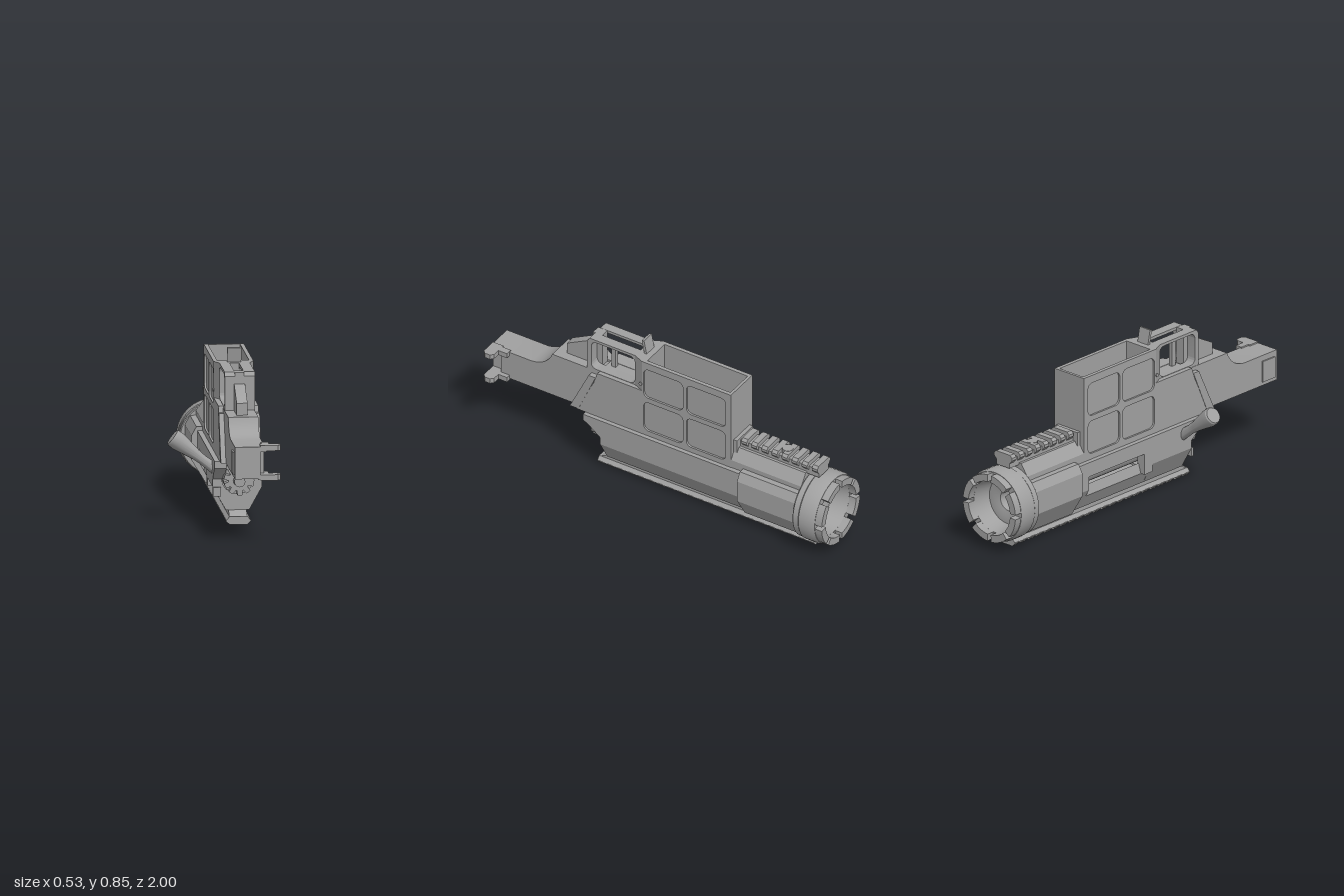
import * as THREE from 'three';
import { toCreasedNormals } from 'three/addons/utils/BufferGeometryUtils.js';

const CX = 0.078, CY = 0.225; // bore axis

export function createModel() {
  const model = new THREE.Group();
  const metal = new THREE.MeshStandardMaterial({ color: 0xa0a0a0 });
  metal.name = 'grey metal';

  const add = (name, geo) => {
    const mesh = new THREE.Mesh(toCreasedNormals(geo, 0.5), metal);
    mesh.name = name;
    model.add(mesh);
    return mesh;
  };
  const poly = pts => new THREE.Shape(pts.map(p => new THREE.Vector2(p[0], p[1])));
  // rounded rectangle between two corners
  const roundRect = (x0, y0, x1, y1, r) => {
    const p = new THREE.Path();
    p.absarc(x1 - r, y1 - r, r, 0, Math.PI / 2);
    p.absarc(x0 + r, y1 - r, r, Math.PI / 2, Math.PI);
    p.absarc(x0 + r, y0 + r, r, Math.PI, Math.PI * 1.5);
    p.absarc(x1 - r, y0 + r, r, Math.PI * 1.5, Math.PI * 2);
    p.closePath();
    return p;
  };
  const extrude = (shape, depth) => new THREE.ExtrudeGeometry(shape, { depth, bevelEnabled: false, curveSegments: 8 });
  // side profile (z, y) spanning x0..x1
  const sideways = (name, shape, x0, x1) => add(name, extrude(shape, x1 - x0).rotateY(-Math.PI / 2).translate(x1, 0, 0));
  // cross-section (x, y) spanning z0..z1
  const lengthways = (name, shape, z0, z1) => add(name, extrude(shape, z1 - z0).translate(0, 0, z0));
  // plan (x, z) spanning y0..y1
  const upright = (name, shape, y0, y1) => add(name, extrude(shape, y1 - y0).rotateX(Math.PI / 2).translate(0, y1, 0));
  const box = (name, x0, x1, y0, y1, z0, z1) => add(name,
    new THREE.BoxGeometry(x1 - x0, y1 - y0, z1 - z0).translate((x0 + x1) / 2, (y0 + y1) / 2, (z0 + z1) / 2));
  const withBore = (pts, r) => {
    const s = poly(pts), h = new THREE.Path();
    h.absarc(CX, CY, r, 0, Math.PI * 2);
    s.holes.push(h);
    return s;
  };

  // receiver body: bored ends, middle open on top and at the port
  const bodyPts = [[-0.045, 0.325], [-0.045, 0.18], [0.02, 0.065], [0.136, 0.065], [0.2, 0.18], [0.2, 0.325]];
  lengthways('receiverRear', withBore(bodyPts, 0.08), 0.05, 0.33);
  lengthways('receiverNeck', withBore(bodyPts, 0.089), -0.5, -0.41);
  const trough = poly([[0.158, 0.325], [0.2, 0.325], [0.2, 0.18], [0.136, 0.065], [0.02, 0.065], [-0.021, 0.14]]);
  trough.absarc(CX, CY, 0.09, Math.PI * 1.12, Math.PI * 2);
  lengthways('receiverTrough', trough, -0.41, 0.05);
  box('portLip', -0.045, 0, 0.25, 0.325, -0.41, 0.05);
  box('portRearFill', -0.045, 0.0, 0.14, 0.25, -0.01, 0.05);
  for (const [x0, x1] of [[-0.045, 0.015], [0.14, 0.2]]) {
    sideways('receiverEar', poly([[0.33, 0.22], [0.4, 0.275], [0.43, 0.29], [0.43, 0.325], [0.33, 0.325]]), x0, x1);
  }

  // thicker handguard
  lengthways('handguard', withBore([[-0.05, 0.345], [-0.075, 0.3], [-0.075, 0.18], [-0.005, 0.065],
    [0.161, 0.065], [0.231, 0.18], [0.231, 0.3], [0.206, 0.345]], 0.089), -0.83, -0.49);

  // barrel sleeve and front collar
  const collar = [[0.14, -0.96], [0.18, -0.96], [0.187, -0.945], [0.187, -0.87], [0.183, -0.865], [0.183, -0.835],
    [0.178, -0.83], [0.088, -0.83], [0.088, -0.45], [0.055, -0.45], [0.055, -0.86], [0.09, -0.87], [0.12, -0.87], [0.14, -0.96]];
  add('barrelCollar', new THREE.LatheGeometry(collar.map(p => new THREE.Vector2(...p)), 36).rotateX(Math.PI / 2).translate(CX, CY, 0));
  for (let i = 0; i < 8; i++) {
    const a0 = (i * Math.PI) / 4 + 0.07, a1 = a0 + Math.PI / 4 - 0.14, s = new THREE.Shape();
    s.absarc(CX, CY, 0.177, a0, a1, false);
    s.absarc(CX, CY, 0.14, a1, a0, true);
    lengthways('collarTooth', s, -1, -0.955);
  }

  // bolt with fluted end cap
  add('bolt', new THREE.CylinderGeometry(0.06, 0.06, 0.78, 24).rotateX(Math.PI / 2).translate(CX, CY, -0.02));
  add('boltShroud', new THREE.CylinderGeometry(0.075, 0.075, 0.14, 32).rotateX(Math.PI / 2).translate(CX, CY, 0.3));
  const flutes = [];
  for (let i = 0; i < 60; i++) {
    const a = (i / 60) * Math.PI * 2, r = i > 21 && i % 6 < 2 ? 0.052 : 0.075;
    flutes.push([CX + r * Math.cos(a), CY + r * Math.sin(a)]);
  }
  lengthways('flutedCap', poly(flutes), 0.365, 0.415);
  add('capButton', new THREE.CylinderGeometry(0.027, 0.03, 0.05, 20).rotateX(Math.PI / 2).translate(CX, CY, 0.43));
  box('capLatch', 0.063, 0.093, 0.298, 0.32, 0.33, 0.42);
  box('capLug', -0.045, -0.005, 0.135, 0.18, 0.33, 0.345);

  // angled bolt handle
  const handle = add('boltHandle', new THREE.LatheGeometry([[0, -0.07], [0.028, -0.07], [0.028, 0], [0.024, 0.09], [0.027, 0.13],
    [0.046, 0.24], [0.045, 0.27], [0.04, 0.278], [0, 0.278]].map(p => new THREE.Vector2(...p)), 20));
  handle.position.set(-0.02, 0.255, 0.28);
  handle.quaternion.setFromUnitVectors(new THREE.Vector3(0, 1, 0), new THREE.Vector3(-0.22, 0.17, 0).normalize());

  // magazine well: inner walls plus outer plates with four pockets
  const wellPts = [[-0.42, 0.325], [0.1, 0.325], [0.1, 0.77], [-0.42, 0.77]];
  const pocketed = poly(wellPts);
  for (const z of [-0.39, -0.14]) for (const y of [0.355, 0.557]) {
    pocketed.holes.push(roundRect(z, y, z + 0.23, y + 0.173, 0.03));
  }
  sideways('wellInnerRight', poly(wellPts), -0.01, 0);
  sideways('wellOuterRight', pocketed, -0.02, -0.01);
  sideways('wellInnerLeft', poly(wellPts), 0.158, 0.168);
  sideways('wellOuterLeft', pocketed, 0.168, 0.178);
  box('wellFrontWall', 0, 0.158, 0.325, 0.77, -0.42, -0.405);
  box('wellRearWall', 0, 0.158, 0.325, 0.77, 0.08, 0.1);

  // trigger housing and its diagonal ribs
  sideways('triggerHousing', poly([[0.1, 0.325], [0.48, 0.325], [0.38, 0.53], [0.36, 0.59], [0.1, 0.59]]), -0.02, 0.178);
  for (const [x0, x1] of [[-0.022, 0.005], [0.152, 0.18]]) {
    sideways('diagonalRib', poly([[0.47, 0.33], [0.52, 0.33], [0.41, 0.56], [0.37, 0.56]]), x0, x1);
  }

  // trigger guard: side frames leave a slot along the top
  upright('guardRoot', poly([[-0.02, 0.1], [0.178, 0.1], [0.155, 0.155], [0.005, 0.155]]), 0.58, 0.77);
  for (const [x0, x1] of [[0.005, 0.055], [0.101, 0.155]]) {
    const frame = poly([[0.435, 0.57], [0.435, 0.75], [0.42, 0.77], [0.12, 0.77], [0.12, 0.57]]);
    frame.holes.push(roundRect(0.155, 0.592, 0.41, 0.755, 0.03));
    sideways('guardFrame', frame, x0, x1);
  }
  box('guardPost', 0.055, 0.101, 0.57, 0.769, 0.38, 0.434);
  box('trigger', 0.068, 0.088, 0.57, 0.72, 0.31, 0.335);
  const lever = box('releaseLever', -0.035, 0.035, -0.13, 0.045, -0.007, 0.007);
  lever.position.set(0.08, 0.8, 0.125);
  lever.rotation.x = 0.2;
  for (const x of [-0.023, 0.178]) {
    add('crossPin', new THREE.CylinderGeometry(0.009, 0.009, 0.006, 12).rotateZ(Math.PI / 2).translate(x + 0.0015, 0.63, 0.107));
  }

  // rear tang with window, swept up to the grip saddle
  const tang = poly([[0.38, 0.33], [0.94, 0.33], [0.94, 0.49], [0.76, 0.49]]);
  tang.quadraticCurveTo(0.67, 0.5, 0.64, 0.58);
  tang.lineTo(0.36, 0.58);
  tang.holes.push(roundRect(0.575, 0.355, 0.795, 0.465, 0.045));
  sideways('rearTang', tang, 0.003, 0.152);
  sideways('gripRidge', poly([[0.43, 0.57], [0.585, 0.57], [0.585, 0.64], [0.45, 0.712], [0.43, 0.712]]), 0.05, 0.104);

  // rear end block with two hooks and a side channel
  box('endBlock', 0.003, 0.13, 0.33, 0.49, 0.93, 1);
  box('endBlockTop', 0.12, 0.16, 0.465, 0.49, 0.93, 1);
  box('endBlockBottom', 0.12, 0.16, 0.325, 0.35, 0.93, 1);
  for (const [y0, y1] of [[0.47, 0.497], [0.322, 0.35]]) {
    upright('hook', poly([[0.13, 0.94], [0.215, 0.94], [0.23, 0.955], [0.23, 0.985], [0.215, 1], [0.13, 1]]), y0, y1);
    box('hookNub', 0.14, 0.176, y0, y1, 0.89, 0.945);
  }
  box('sideKeeper', -0.005, 0.005, 0.35, 0.46, 0.89, 0.98);

  // fore block carrying the top rail
  lengthways('foreBlock', poly([[-0.02, 0.32], [0.176, 0.32], [0.176, 0.37], [0.135, 0.43], [0.021, 0.43], [-0.02, 0.37]]), -0.83, -0.41);
  box('foreShoulder', 0.005, 0.152, 0.38, 0.48, -0.44, -0.41);
  box('topRailBase', 0.035, 0.121, 0.42, 0.467, -0.9, -0.41);
  const topTooth = poly([[0.035, 0.445], [0.121, 0.445], [0.138, 0.464], [0.138, 0.478], [0.125, 0.491],
    [0.031, 0.491], [0.018, 0.478], [0.018, 0.464]]);
  for (let i = 0; i < 8; i++) lengthways('topRailTooth', topTooth, -0.9 + i * 0.059, -0.868 + i * 0.059);
  add('railScrew', new THREE.CylinderGeometry(0.028, 0.028, 0.04, 20).translate(CX, 0.473, -0.69));

  // full-length bottom rail
  sideways('bottomRailWeb', poly([[0.385, 0.018], [0.385, 0.035], [0.3, 0.08], [-0.83, 0.08], [-0.88, 0.06], [-0.88, 0.018]]), 0.033, 0.122);
  lengthways('bottomRailFlange', poly([[0.016, 0.02], [0.14, 0.02], [0.122, 0.04], [0.034, 0.04]]), -0.88, 0.385);
  const bottomTooth = poly([[0.034, 0], [0.122, 0], [0.14, 0.018], [0.14, 0.022], [0.016, 0.022], [0.016, 0.018]]);
  for (let i = 0; i < 22; i++) lengthways('bottomRailTooth', bottomTooth, -0.88 + i * 0.0588, -0.85 + i * 0.0588);

  return model;
}
